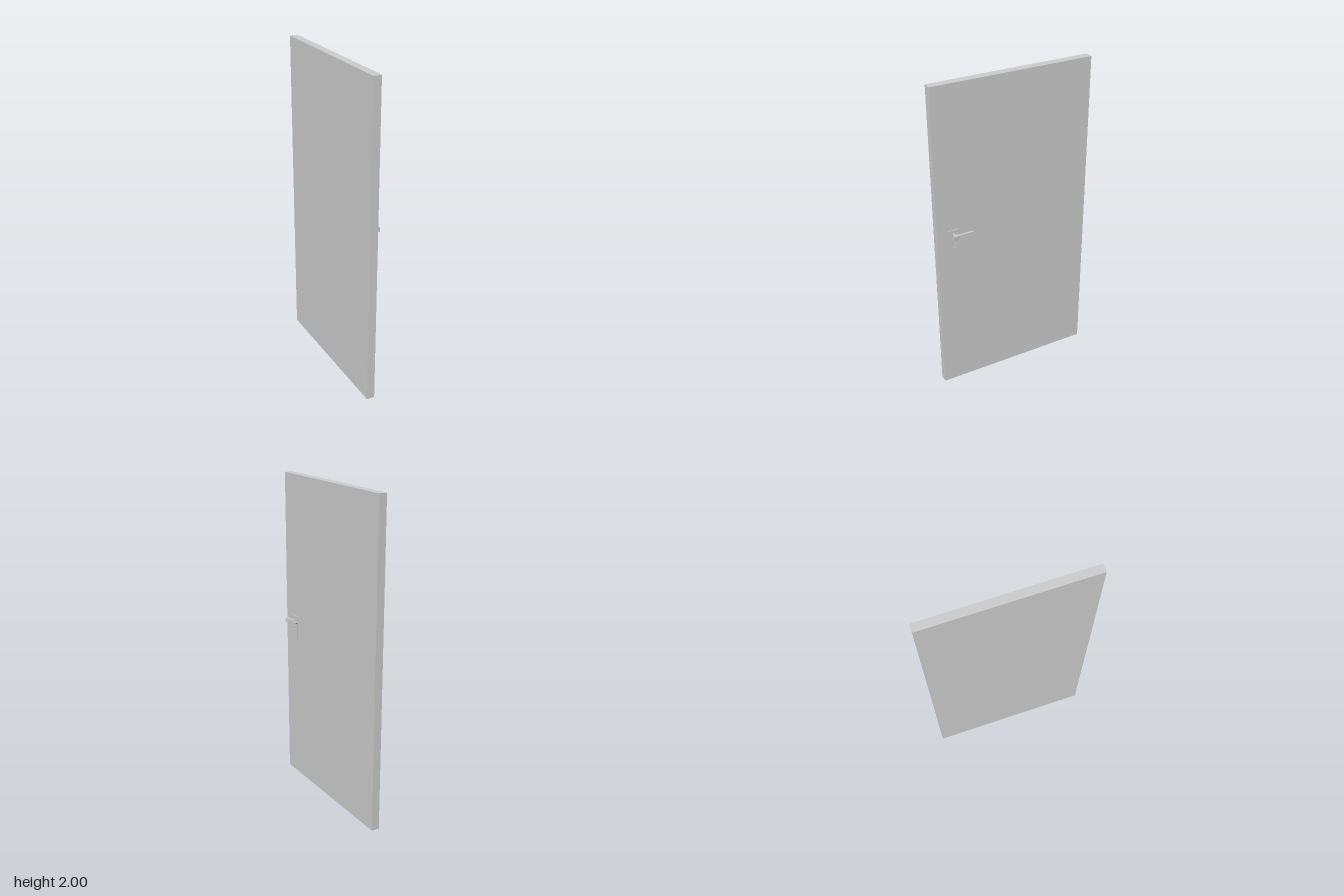
import * as THREE from 'three';

const HANDLE_Z = 0.397;

function addMesh(parent, name, geometry, x = 0, y = 0, z = 0) {
  const material = new THREE.MeshStandardMaterial({ color: 0xcccccc, flatShading: name !== 'handleNeck' });
  const mesh = new THREE.Mesh(geometry, material);
  mesh.name = name;
  mesh.position.set(x, y, z);
  parent.add(mesh);
}

// Backplate outline with a keyhole cut through it
function plateGeometry(width, bottom, top, depth) {
  const w = width / 2;
  const shape = new THREE.Shape();
  shape.moveTo(-w, bottom).lineTo(w, bottom).lineTo(w, top).lineTo(-w, top).closePath();

  const slot = 0.004, r = 0.008, cy = 1.022;
  const a = Math.asin(slot / r);
  const hole = new THREE.Path();
  hole.moveTo(-slot, 0.99);
  hole.lineTo(slot, 0.99);
  hole.absarc(0, cy, r, -Math.PI / 2 + a, Math.PI * 1.5 - a, false);
  hole.closePath();
  shape.holes.push(hole);

  return new THREE.ExtrudeGeometry(shape, { depth, bevelEnabled: false, curveSegments: 10 })
    .rotateY(Math.PI / 2);
}

// Lever lofted through rectangular sections: [z, xMin, xMax, yMin, yMax]
function leverGeometry(sections) {
  const positions = [], index = [];
  for (const [z, x0, x1, y0, y1, zTop = z] of sections) {
    positions.push(x0, y0, z, x1, y0, z, x1, y1, zTop, x0, y1, zTop);
  }
  for (let i = 0; i < sections.length - 1; i++) {
    for (let j = 0; j < 4; j++) {
      const a = i * 4 + j, b = i * 4 + (j + 1) % 4;
      index.push(a, a + 4, b, b, a + 4, b + 4);
    }
  }
  const e = (sections.length - 1) * 4;
  index.push(0, 1, 2, 0, 2, 3, e, e + 2, e + 1, e, e + 3, e + 2);
  const geometry = new THREE.BufferGeometry();
  geometry.setAttribute('position', new THREE.Float32BufferAttribute(positions, 3));
  geometry.setIndex(index);
  const flat = geometry.toNonIndexed();
  flat.computeVertexNormals();
  return flat;
}

export function createModel() {
  const door = new THREE.Group();
  door.name = 'door';

  // Door leaf
  addMesh(door, 'doorLeaf', new THREE.BoxGeometry(0.05, 2, 1), -0.032, 1, 0);

  // Handle set on the left face
  const handle = new THREE.Group();
  handle.name = 'handleSet';
  door.add(handle);
  addMesh(handle, 'backplate', plateGeometry(0.066, 0.96, 1.11, 0.006), -0.0075, 0, HANDLE_Z);
  addMesh(handle, 'handleNeck', new THREE.CylinderGeometry(0.0055, 0.0055, 0.037, 20).rotateZ(Math.PI / 2),
    0.0145, 1.081, HANDLE_Z);
  addMesh(handle, 'lever', leverGeometry([
    [0.415, 0.027, 0.054, 1.068, 1.096],
    [0.395, 0.028, 0.050, 1.075, 1.096],
    [0.383, 0.034, 0.047, 1.079, 1.096],
    [0.308, 0.034, 0.047, 1.081, 1.096],
    [0.290, 0.034, 0.047, 1.093, 1.096],
  ]));

  return door;
}
